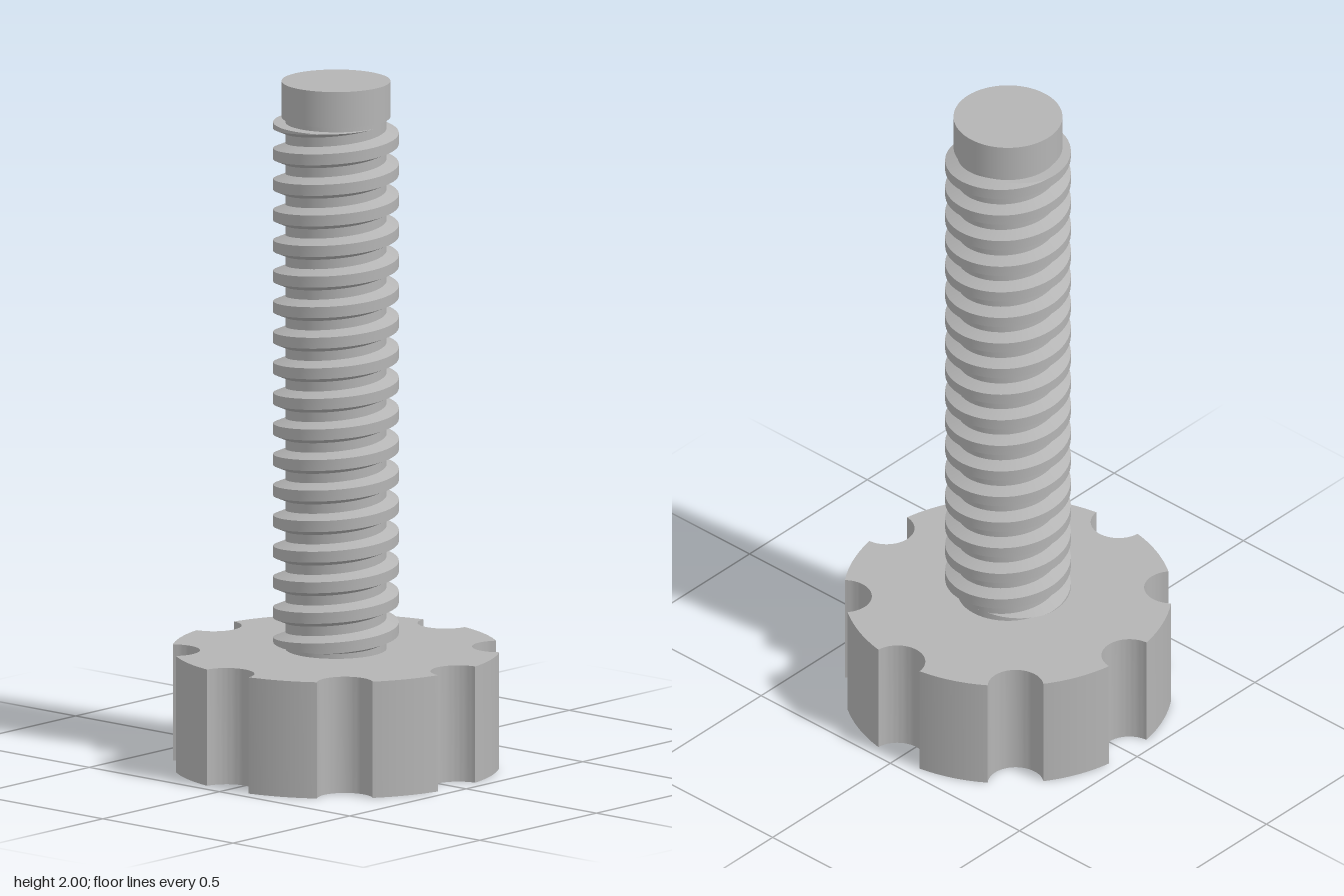
import * as THREE from 'three';
import { toCreasedNormals } from 'three/addons/utils/BufferGeometryUtils.js';

const CORE = 0.145, CREST = 0.18, LOW = 0.36, HIGH = 1.88, TURNS = 17;
const PITCH = (HIGH - LOW) / TURNS, TOOTH = 0.062, FLANK = 0.015;
const clamp = THREE.MathUtils.clamp;

// Round plate with eight scalloped finger grips
function knobGeometry() {
  const R = 0.47, r = 0.08, d = 2 * Math.asin(r / 2 / R), step = Math.PI / 4;
  const shape = new THREE.Shape();
  for (let i = 0; i < 8; i++) {
    const a = i * step, q = Math.PI / 2 + d / 2;
    shape.absarc(R * Math.cos(a), R * Math.sin(a), r, a - q, a + q, true);
    shape.absarc(0, 0, R, a + d, a + step - d, false);
  }
  const geo = new THREE.ExtrudeGeometry(shape, { depth: 0.34, bevelEnabled: false, curveSegments: 16 });
  geo.rotateX(-Math.PI / 2);
  return toCreasedNormals(geo, 0.5);
}

// Trapezoid tooth section, trimmed flat at both ends of the thread
function toothSection(base) {
  const trim = y => clamp(y, LOW, HIGH);
  const flanks = [0, FLANK, TOOTH - FLANK, TOOTH].map(h => {
    const y = trim(base + h), k = clamp(Math.min(y - base, base + TOOTH - y) / FLANK, 0, 1);
    return [CORE + (CREST - CORE) * k, y];
  });
  return [[CORE - 0.003, trim(base)], ...flanks, [CORE - 0.003, trim(base + TOOTH)]];
}

// Right-handed helix; each strip has its own vertices, so edges stay sharp
function threadGeometry() {
  const perTurn = 60, count = (TURNS + 1) * perTurn, pos = [], index = [];
  for (let strip = 0; strip < 5; strip++) {
    for (let i = 0; i <= count; i++) {
      const turn = i / perTurn - 1, a = turn * Math.PI * 2;
      const section = toothSection(LOW + turn * PITCH);
      for (const [r, y] of [section[strip], section[strip + 1]])
        pos.push(r * Math.cos(a), y, -r * Math.sin(a));
      if (i < count) {
        const n = (strip * (count + 1) + i) * 2;
        index.push(n, n + 2, n + 3, n, n + 3, n + 1);
      }
    }
  }
  const geo = new THREE.BufferGeometry();
  geo.setAttribute('position', new THREE.Float32BufferAttribute(pos, 3));
  geo.setIndex(index);
  geo.computeVertexNormals();
  return geo;
}

export function createModel() {
  const group = new THREE.Group();
  group.name = 'thumbScrew';
  const steel = new THREE.MeshStandardMaterial({ color: 0xb4b4b4 });
  steel.name = 'greySteel';

  const add = (name, geo, y = 0) => {
    const mesh = new THREE.Mesh(geo, steel);
    mesh.name = name;
    mesh.position.y = y;
    group.add(mesh);
  };
  const rod = (r, h) => new THREE.CylinderGeometry(r, r, h, 64);

  add('knob', knobGeometry());
  add('shaftCore', rod(CORE, 1.58), 1.12);
  add('thread', threadGeometry());
  add('tip', rod(0.156, 0.105), 1.9475);
  return group;
}
